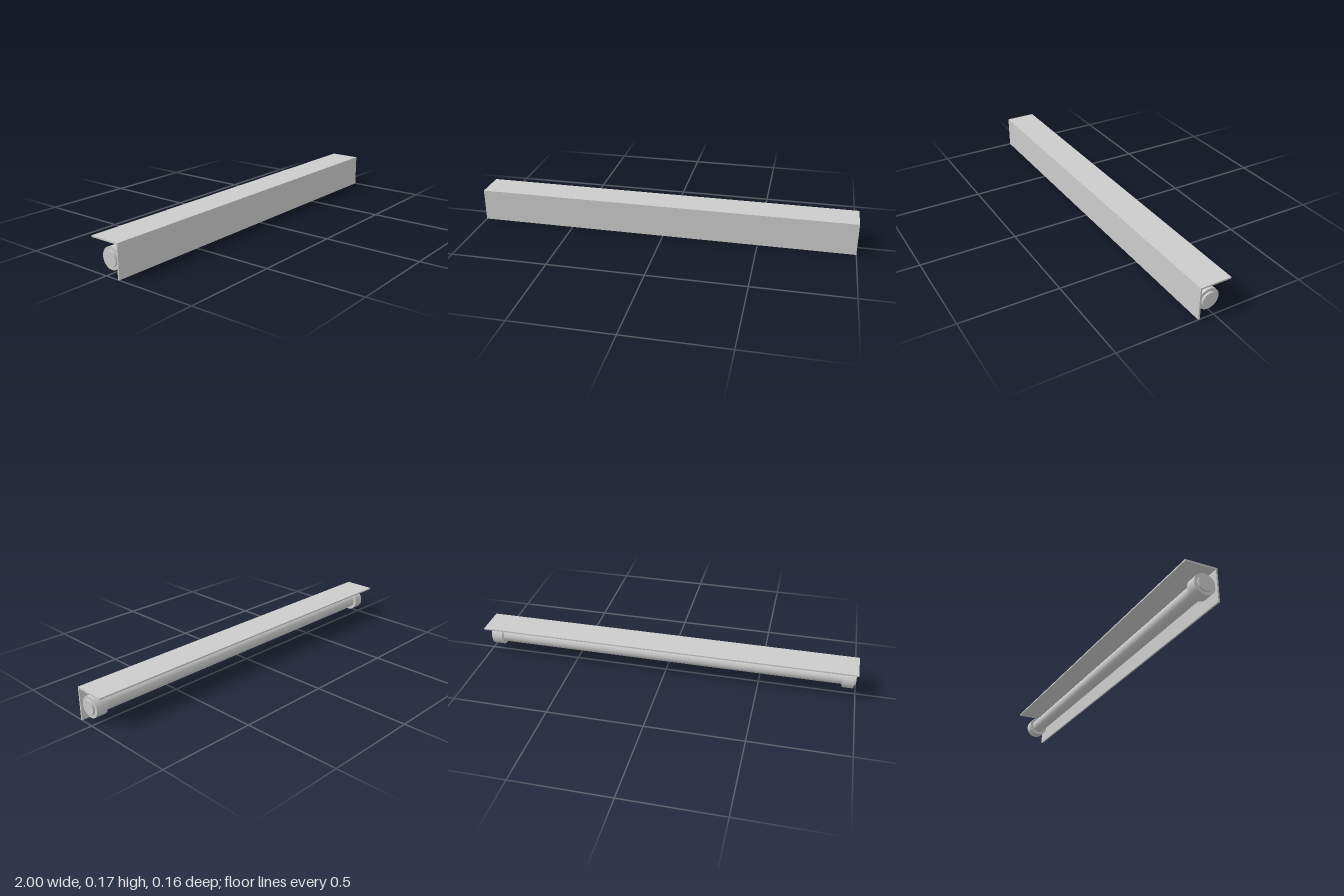
import * as THREE from 'three';

export function createModel() {
  const model = new THREE.Group();
  const material = new THREE.MeshStandardMaterial({ color: 0xcccccc });
  const add = (name, geometry, x, y, z) => {
    const mesh = new THREE.Mesh(geometry, material);
    mesh.name = name;
    mesh.position.set(x, y, z);
    model.add(mesh);
  };

  // L-shaped cover, drawn in (-z, y) and extruded along x
  const front = -0.082, back = 0.082, top = 0.17, t = 0.008;
  const profile = new THREE.Shape([
    [front, 0], [front + t, 0], [front + t, top - t],
    [back, top - t], [back, top], [front, top],
  ].map(([u, v]) => new THREE.Vector2(u, v)));
  const cover = new THREE.ExtrudeGeometry(profile, { depth: 2, bevelEnabled: false });
  cover.translate(0, 0, -1).rotateY(Math.PI / 2);
  // after the turn the extrusion runs along x and u points to -z
  add('cover', cover, 0, 0, 0);

  // round bar lying along x
  const rod = (radius, length) =>
    new THREE.CylinderGeometry(radius, radius, length, 48).rotateZ(Math.PI / 2);
  const axisY = 0.082, axisZ = 0.022;
  add('tube', rod(0.0385, 1.99), 0, axisY, axisZ);

  // collars near both ends
  for (const side of [-1, 1]) {
    add(side > 0 ? 'leftCollar' : 'rightCollar', rod(0.054, 0.058), side * 0.956, axisY, axisZ);
  }
  return model;
}
